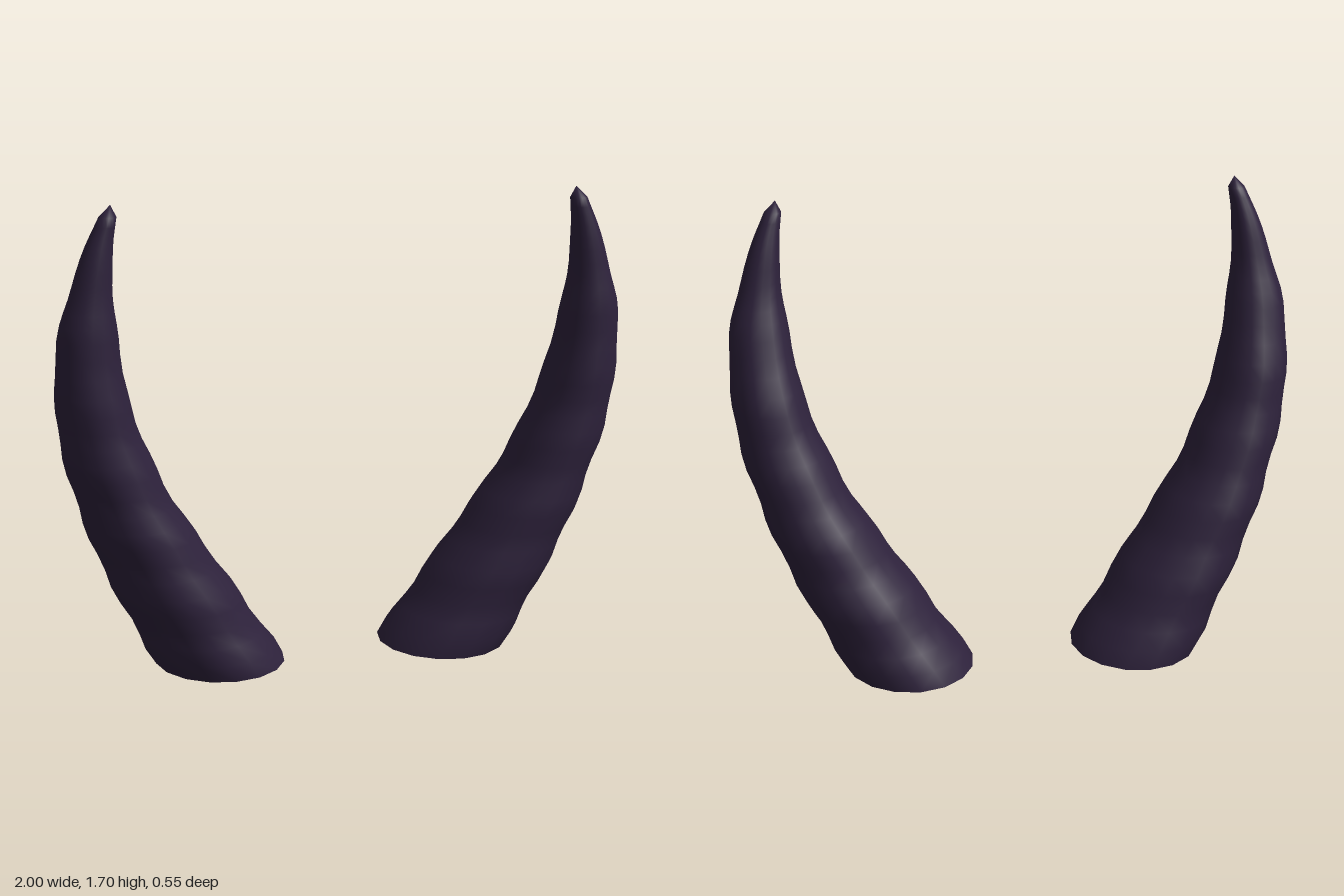
import * as THREE from 'three';

const SIDES = 16, RINGS = 30;

// Height, inner x, outer x, front z, back z of the horn
const PROFILE = [
  [0.03, 0.185, 0.645, 0.24, -0.272],
  [0.235, 0.32, 0.75, 0.254, -0.23],
  [0.45, 0.46, 0.85, 0.264, -0.18],
  [0.65, 0.59, 0.92, 0.268, -0.13],
  [0.85, 0.685, 0.975, 0.27, -0.07],
  [1.04, 0.75, 0.997, 0.272, -0.02],
  [1.25, 0.785, 0.99, 0.268, 0.055],
  [1.4, 0.803, 0.95, 0.26, 0.105],
  [1.55, 0.803, 0.9, 0.25, 0.145],
  [1.66, 0.79, 0.85, 0.24, 0.18],
];
const TIP = [0.81, 1.7, 0.21];
const BASE = [0.41, 0, -0.02];

const curve = (points) => new THREE.CatmullRomCurve3(points, false, 'catmullrom', 0.5);
const innerBack = curve(PROFILE.map(([y, xi, , , zb]) => new THREE.Vector3(xi, y, zb)));
const outerFront = curve(PROFILE.map(([y, , xo, zf]) => new THREE.Vector3(xo, y, zf)));

// One cross-section, swollen slightly where a growth ridge falls
function ring(t, side) {
  const a = innerBack.getPoint(t), b = outerFront.getPoint(t), y = a.y;
  const fade = Math.min(1, (y - 0.03) / 0.06) * (1 - y / 1.7);
  const ridge = 0.008 * fade * Math.cos((y - 0.08) / 0.24 * Math.PI * 2);
  const points = [];
  for (let i = 0; i < SIDES; i++) {
    const u = i / SIDES * Math.PI * 2;
    const x = (a.x + b.x) / 2 + ((b.x - a.x) / 2 + ridge) * Math.cos(u);
    const z = (a.z + b.z) / 2 + ((b.z - a.z) / 2 + ridge) * Math.sin(u);
    points.push(x * side, y, z);
  }
  return points;
}

function surface(name, positions, faces, side, material) {
  const geometry = new THREE.BufferGeometry();
  geometry.setAttribute('position', new THREE.Float32BufferAttribute(positions, 3));
  // The mirrored horn needs its corners in the other order
  geometry.setIndex(faces.flatMap(([a, b, c]) => (side > 0 ? [a, b, c] : [a, c, b])));
  geometry.computeVertexNormals();
  const mesh = new THREE.Mesh(geometry, material);
  mesh.name = name;
  return mesh;
}

function createHorn(name, side, material) {
  const horn = new THREE.Group();
  horn.name = name;

  // Curved, ridged shaft closed by a small point
  const positions = [], faces = [];
  for (let r = 0; r <= RINGS; r++) positions.push(...ring(r / RINGS, side));
  positions.push(TIP[0] * side, TIP[1], TIP[2]);
  const apex = (RINGS + 1) * SIDES;
  for (let i = 0; i < SIDES; i++) {
    const j = (i + 1) % SIDES;
    for (let r = 0; r < RINGS; r++) {
      const low = r * SIDES, high = low + SIDES;
      faces.push([low + i, high + i, low + j], [low + j, high + i, high + j]);
    }
    faces.push([RINGS * SIDES + i, apex, RINGS * SIDES + j]);
  }
  horn.add(surface('hornShaft', positions, faces, side, material));

  // Shallow cone under the base
  const cap = [...ring(0, side), BASE[0] * side, BASE[1], BASE[2]];
  const capFaces = [];
  for (let i = 0; i < SIDES; i++) capFaces.push([i, (i + 1) % SIDES, SIDES]);
  horn.add(surface('hornBase', cap, capFaces, side, material));
  return horn;
}

export function createModel() {
  const material = new THREE.MeshStandardMaterial({ color: 0x2e223c });
  material.name = 'dark purple horn';
  const model = new THREE.Group();
  model.name = 'hornPair';
  model.add(createHorn('leftHorn', 1, material), createHorn('rightHorn', -1, material));
  return model;
}
